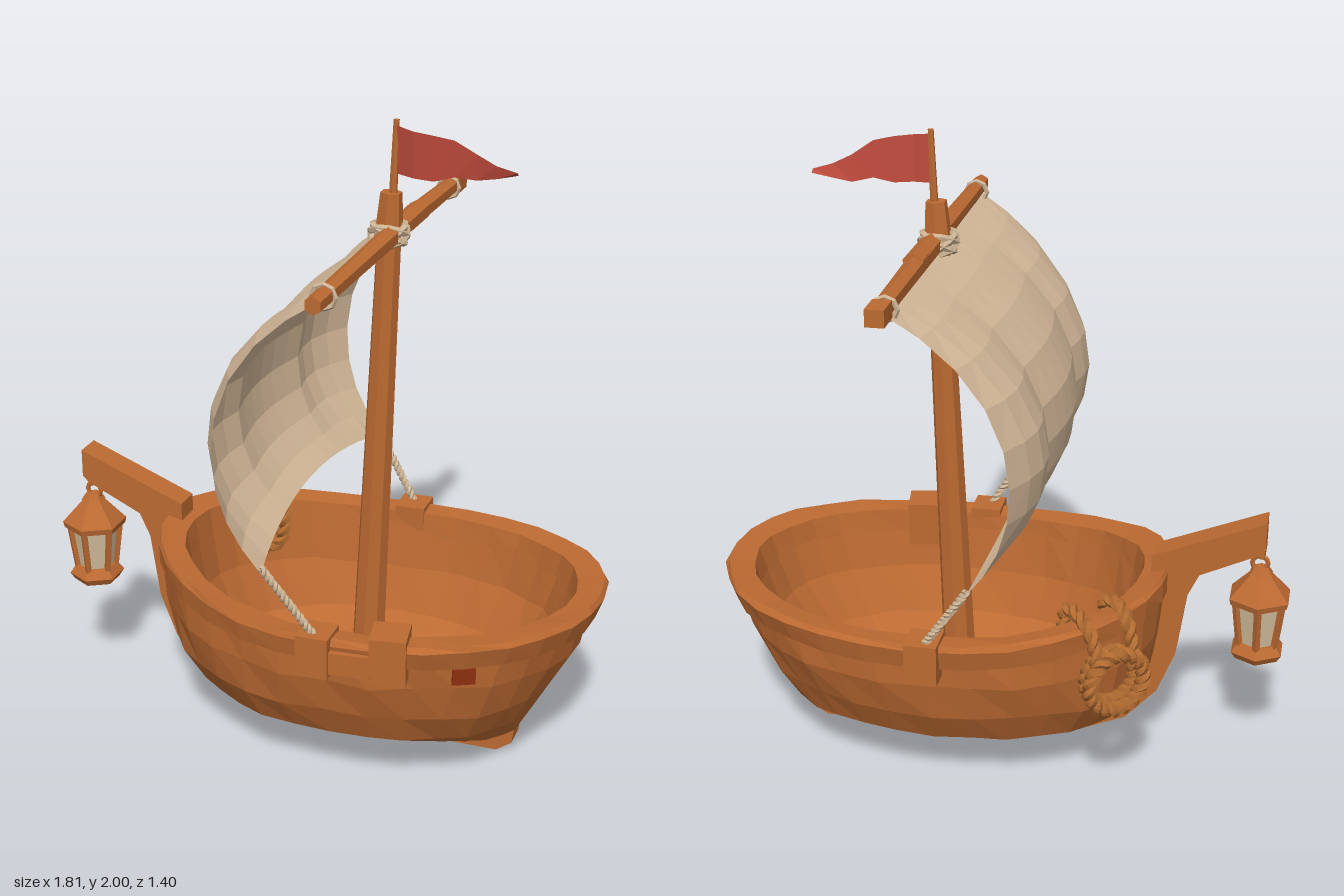
import * as THREE from 'three';
import { mergeGeometries } from 'three/addons/utils/BufferGeometryUtils.js';

const V = (x, y, z) => new THREE.Vector3(x, y, z);

export function createModel() {
  const model = new THREE.Group();
  const mat = (name, color, side = THREE.FrontSide) => {
    const m = new THREE.MeshStandardMaterial({ color, flatShading: true, side });
    m.name = name;
    return m;
  };
  const wood = mat('wood', 0xbc6a32);
  const redWood = mat('dark red wood', 0x8c2f10);
  const canvas = mat('sail canvas', 0xd6ba9a, THREE.DoubleSide);
  const paleRope = mat('pale rope', 0xccb394);
  const brownRope = mat('brown rope', 0xb06a30);
  const flagRed = mat('flag red', 0xbe4a3c, THREE.DoubleSide);
  const glass = mat('lantern glass', 0xd2bd9c);

  const add = (name, geo, material, parent = model) => {
    const g = geo.index ? geo.toNonIndexed() : geo;
    g.computeVertexNormals();
    const mesh = new THREE.Mesh(g, material);
    mesh.name = name;
    parent.add(mesh);
    return mesh;
  };
  const box = (name, w, h, d, p, material = wood, ry = 0, rz = 0) => {
    const mesh = add(name, new THREE.BoxGeometry(w, h, d), material);
    mesh.position.set(...p);
    mesh.rotation.set(0, ry, rz);
    return mesh;
  };
  // Tapered round bar from a to b
  const bar = (name, a, b, r0, r1, sides, material, parent = model) => {
    const dir = b.clone().sub(a);
    const mesh = add(name, new THREE.CylinderGeometry(r1, r0, dir.length(), sides), material, parent);
    mesh.position.copy(a).add(b).multiplyScalar(0.5);
    mesh.quaternion.setFromUnitVectors(V(0, 1, 0), dir.normalize());
    return mesh;
  };
  // Two strands twisted around a path
  const rope = (name, path, r, turns, material, parent, closed = false) => {
    const n = turns * 6, fr = path.computeFrenetFrames(n, closed);
    const strands = [0, Math.PI].map((phase) => {
      const pts = [];
      for (let i = 0; i < (closed ? n : n + 1); i++) {
        const a = phase + (i / n) * turns * Math.PI * 2;
        pts.push(path.getPointAt(i / n)
          .addScaledVector(fr.normals[i], Math.cos(a) * r * 0.75)
          .addScaledVector(fr.binormals[i], Math.sin(a) * r * 0.75));
      }
      return new THREE.TubeGeometry(new THREE.CatmullRomCurve3(pts, closed), n * 2, r, 5, closed);
    });
    return add(name, mergeGeometries(strands), material, parent);
  };

  // Hull: oval rings [bow x, stern x, half width, y, sheer], joined in order
  const SEG = 32;
  const sheer = (x) => (x < 0.1 ? 0.24 : 0.04) * (x - 0.1) ** 2;
  const round = (v) => Math.sign(v) * Math.abs(v) ** 0.94;
  const loft = (name, levels, material, jitter = 0) => {
    const pos = [], idx = [];
    let seed = 7;
    const rnd = () => ((seed = (seed * 16807) % 2147483647) / 2147483647 - 0.5) * jitter;
    levels.forEach(([xb, xs, w, y, s], k) => {
      for (let i = 0; i < SEG; i++) {
        const a = (i / SEG) * Math.PI * 2;
        const x = (xb + xs) / 2 + (round(Math.cos(a)) * (xs - xb)) / 2;
        pos.push(x + rnd(), y + s * sheer(x) + rnd(), w * round(Math.sin(a)) + rnd());
        if (k === levels.length - 1) continue;
        const p = k * SEG + i, q = k * SEG + ((i + 1) % SEG);
        idx.push(p, q, p + SEG, q, q + SEG, p + SEG);
      }
    });
    const g = new THREE.BufferGeometry();
    g.setAttribute('position', new THREE.Float32BufferAttribute(pos, 3));
    g.setIndex(idx);
    return add(name, g, material);
  };
  loft('hullOutside', [
    [-0.52, 0.875, 0.478, 0.52, 1], [-0.51, 0.838, 0.472, 0.4, 0.5],
    [-0.475, 0.775, 0.44, 0.28, 0.2], [-0.41, 0.715, 0.385, 0.18, 0],
    [-0.29, 0.67, 0.25, 0.1, 0], [-0.15, 0.62, 0.1, 0.06, 0], [0.1, 0.4, 0, 0.05, 0],
  ], wood, 0.012);
  loft('hullInside', [
    [0.1, 0.35, 0, 0.13, 0], [-0.18, 0.52, 0.2, 0.14, 0], [-0.34, 0.66, 0.35, 0.23, 0],
    [-0.41, 0.76, 0.41, 0.37, 0.5], [-0.435, 0.81, 0.435, 0.51, 1],
  ], wood, 0.01);
  loft('rim', [
    [-0.43, 0.8, 0.43, 0.485, 1], [-0.445, 0.82, 0.44, 0.56, 1], [-0.52, 0.9, 0.51, 0.567, 1],
    [-0.53, 0.91, 0.52, 0.55, 1], [-0.525, 0.885, 0.505, 0.485, 1], [-0.43, 0.8, 0.43, 0.485, 1],
  ], wood, 0.006);

  // Keel, stem and raised bow beam in one piece
  const keelShape = new THREE.Shape([
    [-0.82, 0.84], [-0.82, 0.75], [-0.8, 0.73], [-0.62, 0.645], [-0.585, 0.57], [-0.555, 0.36],
    [-0.5, 0.22], [-0.4, 0.11], [-0.2, 0.025], [0.2, 0.005], [0.6, 0.005], [0.65, 0.04],
    [0.66, 0.12], [-0.1, 0.1], [-0.28, 0.14], [-0.4, 0.26], [-0.47, 0.42], [-0.47, 0.7],
  ].map(([x, y]) => new THREE.Vector2(x, y)));
  const keel = new THREE.ExtrudeGeometry(keelShape, { depth: 0.09, bevelEnabled: false });
  add('keelAndBowBeam', keel.translate(0, 0, -0.045), wood);
  for (const s of [1, -1]) box('keelStain', 0.6, 0.025, 0.006, [0.2, 0.027, s * 0.046], redWood);
  box('hullStain', 0.07, 0.05, 0.009, [0.58, 0.455, 0.397], redWood, 0.46);

  // Blocks clamped over the rim
  box('cleatFront', 0.1, 0.13, 0.11, [0.155, 0.515, 0.49]);
  box('cleatBack', 0.1, 0.13, 0.11, [0.155, 0.515, -0.485]);
  box('rimClamp', 0.11, 0.15, 0.12, [0.37, 0.52, 0.455], wood, 0.16);
  box('rimPlank', 0.14, 0.07, 0.03, [0.26, 0.5, 0.515], wood, 0.08);

  // Mast, yard and flag pole
  bar('mast', V(0.148, 0.12, 0), V(0.208, 1.7, 0), 0.054, 0.037, 8, wood);
  bar('mastCap', V(0.207, 1.69, 0), V(0.211, 1.785, 0), 0.041, 0.033, 6, wood);
  bar('flagPole', V(0.216, 1.76, 0), V(0.224, 2, 0), 0.013, 0.009, 6, wood);
  bar('yardLeft', V(0.22, 1.665, -0.26), V(0.22, 1.655, 0.7), 0.035, 0.026, 6, wood);
  bar('yardRight', V(0.215, 1.665, 0.04), V(0.22, 1.655, -0.63), 0.035, 0.028, 6, wood);
  box('yardEnd', 0.055, 0.05, 0.09, [0.22, 1.655, -0.655]);

  // Crossed rope lashing at the mast head and ties along the yard
  for (const [tilt, turn] of [[0.5, 0], [-0.5, 0], [0.25, 0.9], [-0.25, -0.9]]) {
    const ring = add('mastLashing', new THREE.TorusGeometry(0.055, 0.012, 5, 10), paleRope);
    ring.position.set(0.205, 1.66, 0);
    ring.rotation.set(Math.PI / 2 + tilt, turn * 0.5, 0);
  }
  for (const z of [-0.6, 0.6]) {
    const tie = add('yardTie', new THREE.TorusGeometry(0.034, 0.008, 5, 8), paleRope);
    tie.position.set(0.215, 1.65, z);
  }

  // Sail: three billowing panels; u runs across, v down
  const sailCurve = new THREE.CatmullRomCurve3([
    V(0.2, 1.635, 0), V(0.07, 1.56, 0), V(-0.07, 1.43, 0), V(-0.155, 1.27, 0),
    V(-0.175, 1.12, 0), V(-0.145, 0.98, 0), V(-0.08, 0.87, 0), V(0.01, 0.775, 0),
  ]);
  const sailPoint = (u, v) => {
    const p = sailCurve.getPoint(v), a = Math.abs(u), fold = 0.43;
    const panel = a < fold ? Math.cos((a / fold) * Math.PI / 2) : Math.sin(((a - fold) / (1 - fold)) * Math.PI);
    const belly = Math.sin(Math.PI * v);
    return V(p.x - 0.03 * panel * belly + 0.05 * a ** 4 * belly - 0.05 * (1 - u * u) * v ** 4,
      p.y + 0.07 * (1 - u * u) * v ** 4, u * (0.63 - 0.065 * v));
  };
  const sail = new THREE.PlaneGeometry(2, 1, 14, 9);
  const sp = sail.attributes.position;
  for (let i = 0; i < sp.count; i++) {
    const p = sailPoint(sp.getX(i), 0.5 - sp.getY(i));
    sp.setXYZ(i, p.x, p.y, p.z);
  }
  add('sail', sail, canvas);
  for (const s of [1, -1]) {
    rope('sailRope', new THREE.LineCurve3(V(0.005, 0.79, s * 0.555), V(0.15, 0.57, s * 0.505)), 0.008, 7, paleRope, model);
  }

  // Waving pennant
  const flag = new THREE.PlaneGeometry(1, 1, 6, 1);
  const fp = flag.attributes.position;
  const top = [1.985, 1.975, 1.967, 1.955, 1.915, 1.885, 1.868];
  const low = [1.84, 1.835, 1.83, 1.845, 1.835, 1.845, 1.858];
  const wave = [0, 0.022, 0.02, 0.008, -0.015, -0.015, -0.022];
  for (let i = 0; i < fp.count; i++) {
    const k = i % 7;
    fp.setXYZ(i, 0.222 + k * 0.06, (i < 7 ? top : low)[k], wave[k] + (i < 7 ? 0.006 : -0.006));
  }
  add('flag', flag, flagRed);

  // Hanging lantern
  const lantern = new THREE.Group();
  lantern.name = 'lantern';
  lantern.position.set(-0.808, 0, 0);
  model.add(lantern);
  const drum = (name, r0, r1, y0, y1, m) => bar(name, V(0, y0, 0), V(0, y1, 0), r0, r1, 6, m, lantern);
  drum('lanternFoot', 0.075, 0.09, 0.362, 0.385, wood);
  drum('lanternBase', 0.09, 0.068, 0.385, 0.415, wood);
  drum('lanternGlass', 0.058, 0.078, 0.41, 0.565, glass);
  drum('lanternEave', 0.1, 0.105, 0.555, 0.575, wood);
  drum('lanternRoof', 0.105, 0.035, 0.575, 0.65, wood);
  drum('lanternCap', 0.04, 0.025, 0.65, 0.672, wood);
  for (let i = 0; i < 6; i++) {
    const c = Math.cos(i * Math.PI / 3 + Math.PI / 6), s = Math.sin(i * Math.PI / 3 + Math.PI / 6);
    bar('lanternPost', V(c * 0.062, 0.405, s * 0.062), V(c * 0.083, 0.565, s * 0.083), 0.012, 0.012, 4, wood, lantern);
  }
  const loop = add('lanternRing', new THREE.TorusGeometry(0.024, 0.008, 5, 10), wood, lantern);
  loop.position.set(0.005, 0.685, 0);
  bar('lanternHook', V(0, 0.7, 0), V(-0.005, 0.76, 0), 0.01, 0.01, 5, wood, lantern);

  // Rope coil hung over the rim; local z points out of the hull
  const coil = new THREE.Group();
  coil.name = 'ropeCoil';
  coil.position.set(-0.34, 0.61, -0.31);
  coil.rotation.y = Math.atan2(-0.62, -0.78);
  model.add(coil);
  for (const [r, z] of [[0.085, 0.085], [0.092, 0.125]]) {
    const pts = Array.from({ length: 12 }, (_, i) => {
      const a = (i / 12) * Math.PI * 2;
      return V(Math.cos(a) * r, -0.16 + Math.sin(a) * r, z);
    });
    rope('coilRing', new THREE.CatmullRomCurve3(pts, true), 0.015, 9, brownRope, coil, true);
  }
  const half = [[0.06, -0.12, 0.12], [0.065, -0.02, 0.085], [0.07, 0.025, 0.02], [0.07, 0.015, -0.06], [0.065, -0.08, -0.085], [0.04, -0.16, -0.075]];
  const strap = [...half, ...half.slice().reverse().map(([x, y, z]) => [-x, y, z])];
  rope('coilStrap', new THREE.CatmullRomCurve3(strap.map((p) => V(...p))), 0.014, 12, brownRope, coil);

  return model;
}
